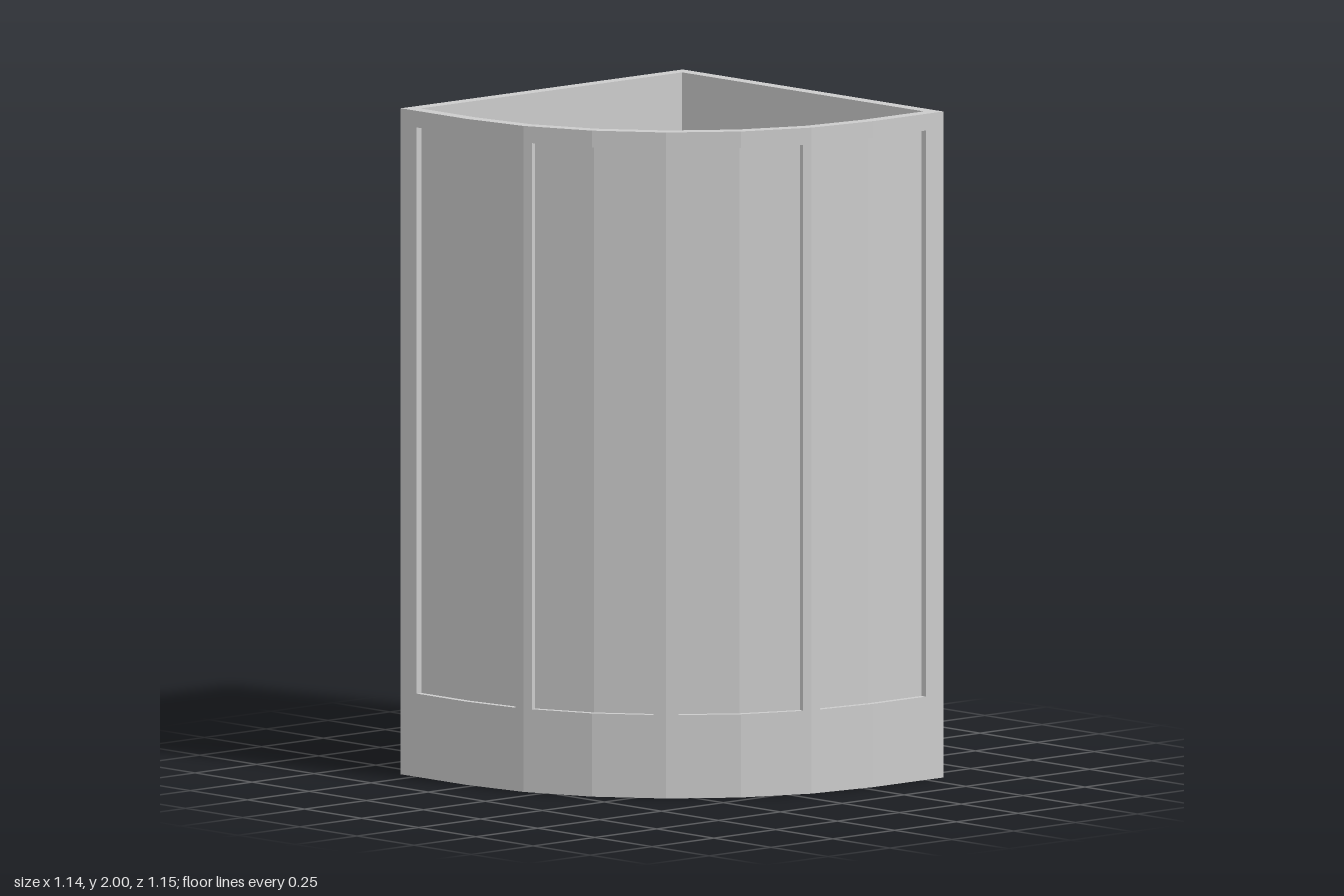
import * as THREE from 'three';

const material = new THREE.MeshStandardMaterial({ color: 0xcccccc });
const W = 0.57, BACK = -0.565, FRONT = 0.575;   // outer footprint
const CX = 0.285, CZ = -0.28, R = 0.855;        // curved corner
const SEGMENTS = 6, WALL = 0.041;

// Corners of the curved side, inset by d, from the front right end to the back left end
function outline(d) {
  const pts = [[W, FRONT - d]];
  for (let i = 0; i <= SEGMENTS; i++) {
    const a = (i / SEGMENTS) * Math.PI / 2;
    pts.push([CX - (R - d) * Math.sin(a), CZ + (R - d) * Math.cos(a)]);
  }
  pts.push([-W + d, BACK]);
  return pts;
}

// Part of the inset outline between parameters t0 and t1 (one unit per corner)
function slice(d, t0, t1) {
  const pts = outline(d);
  const at = (t) => {
    const i = Math.min(Math.floor(t), pts.length - 2), f = t - i;
    return [0, 1].map((k) => pts[i][k] + (pts[i + 1][k] - pts[i][k]) * f);
  };
  const out = [at(t0)];
  for (let i = Math.floor(t0) + 1; i < t1; i++) out.push(pts[i]);
  out.push(at(t1));
  return out;
}

function createMesh(name, geometry, x = 0, y = 0, z = 0) {
  const mesh = new THREE.Mesh(geometry, material);
  mesh.name = name;
  mesh.position.set(x, y, z);
  return mesh;
}

// Upright prism over a plan given as [x, z] points
function prism(name, plan, y0, y1) {
  const shape = new THREE.Shape(plan.map(([x, z]) => new THREE.Vector2(x, -z)));
  const geometry = new THREE.ExtrudeGeometry(shape, { depth: y1 - y0, bevelEnabled: false });
  geometry.rotateX(-Math.PI / 2);
  return createMesh(name, geometry, 0, y0, 0);
}

function curvedWall(name, t0, t1, y0, y1, dOut = 0, dIn = WALL) {
  return prism(name, [...slice(dOut, t0, t1), ...slice(dIn, t0, t1).reverse()], y0, y1);
}

export function createModel() {
  const model = new THREE.Group();
  const sill = 0.25, head = 1.95, top = 2, end = SEGMENTS + 2;

  // Tray with its floor
  model.add(prism('tray', [...outline(0), [W, BACK]], 0, 0.2));

  // Flat walls
  model.add(createMesh('backWall', new THREE.BoxGeometry(2 * W, top, 0.042), 0, top / 2, BACK + 0.021));
  model.add(createMesh('sideWall', new THREE.BoxGeometry(WALL, top, FRONT - BACK), W - WALL / 2, top / 2, (FRONT + BACK) / 2));

  // Curved frame: rails, posts and recessed panes, symmetric about the diagonal
  model.add(curvedWall('bottomRail', 0, end, 0, sill));
  model.add(curvedWall('topRail', 0, end, head, top));
  const panes = [[0.245, 1.86], [2.12, 3.83]];
  panes.push([end - 3.83, end - 2.12], [end - 1.86, end - 0.245]);
  let last = 0;
  for (const [t0, t1] of panes) {
    model.add(curvedWall('post', last, t0, sill, head));
    model.add(curvedWall('pane', t0, t1, sill, head, 0.02, 0.026));
    last = t1;
  }
  model.add(curvedWall('post', last, end, sill, head));

  // Shower arm with wall fitting
  const shower = new THREE.Group();
  shower.name = 'shower';
  shower.position.x = 0.083;
  const y = 1.835, z = -0.28;
  const fitting = new THREE.CylinderGeometry(0.026, 0.026, 0.085, 16).rotateX(Math.PI / 2);
  shower.add(createMesh('wallFitting', fitting, 0, y, -0.5375));
  const arm = new THREE.CurvePath();
  const v = (py, pz) => new THREE.Vector3(0, py, pz);
  arm.add(new THREE.LineCurve3(v(y, -0.5), v(y, z - 0.09)));
  arm.add(new THREE.QuadraticBezierCurve3(v(y, z - 0.09), v(y, z), v(y - 0.08, z)));
  arm.add(new THREE.LineCurve3(v(y - 0.08, z), v(1.715, z)));
  shower.add(createMesh('arm', new THREE.TubeGeometry(arm, 32, 0.016, 12)));

  // Shower head: thin disc with a shallow cone
  shower.add(createMesh('headDisc', new THREE.CylinderGeometry(0.141, 0.141, 0.015, 16), 0, 1.6875, z));
  shower.add(createMesh('headCone', new THREE.CylinderGeometry(0.018, 0.141, 0.03, 16), 0, 1.71, z));

  // Mixer valve lower on the back wall
  const valve = new THREE.CylinderGeometry(0.034, 0.034, 0.08, 16).rotateX(Math.PI / 2);
  shower.add(createMesh('valve', valve, 0.003, 1.1, -0.485));
  model.add(shower);

  return model;
}
